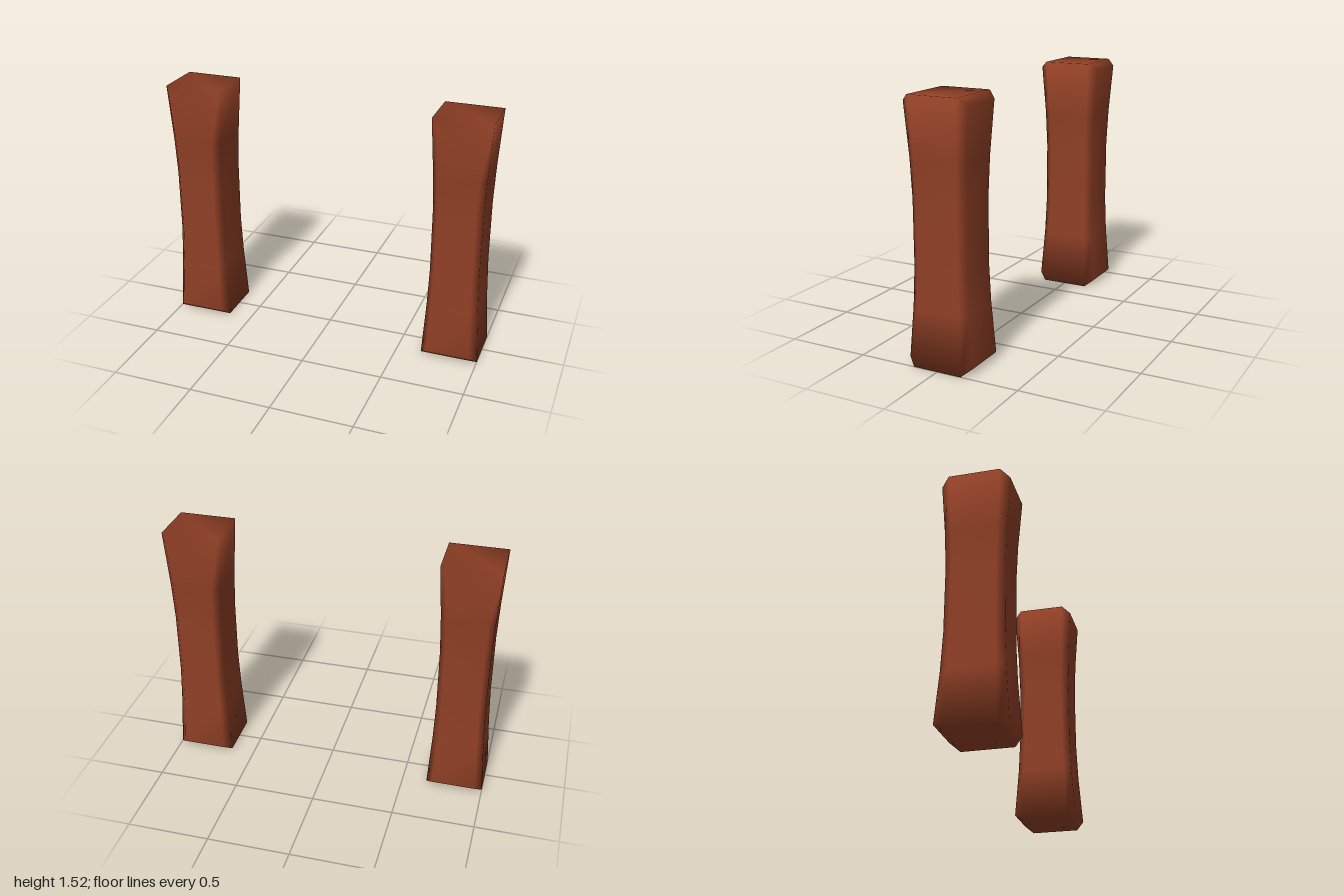
import * as THREE from 'three';

const HEIGHT = 1.525, CHAMFER = 0.04;

// Plan of a post, counter-clockwise from above: an octagon with chamfered corners
const PLAN = [
  [0.175, 0.15], [0.175, -0.15], [0.135, -0.2], [-0.135, -0.2],
  [-0.175, -0.15], [-0.175, 0.15], [-0.135, 0.2], [0.135, 0.2],
];
// Heights of the cross-sections, from -1 (foot) to 1 (top)
const LEVELS = [-1, -0.55, -0.25, 0.25, 0.55, 1];

// Waisted post with bevelled front and back faces and shared, smooth normals
function postGeometry() {
  const positions = [], index = [];
  const n = PLAN.length;
  for (const t of LEVELS) {
    const scale = 0.84 + 0.16 * Math.max(0, (Math.abs(t) - 0.1) / 0.9) ** 1.6;
    for (const [x, z] of PLAN) {
      // the front and back faces stop short of the ends
      const inset = Math.abs(z) > 0.16 && Math.abs(t) === 1 ? CHAMFER * t : 0;
      positions.push(x * scale, (t + 1) / 2 * HEIGHT - inset, z * scale);
    }
  }
  // sides
  for (let r = 0; r < LEVELS.length - 1; r++) {
    for (let i = 0; i < n; i++) {
      const a = r * n + i, b = r * n + (i + 1) % n;
      index.push(a, b, b + n, a, b + n, a + n);
    }
  }
  // end caps: a flat centre and two sloping bevels
  const top = (LEVELS.length - 1) * n;
  for (const [a, b, c, d] of [[0, 1, 4, 5], [1, 2, 3, 4], [5, 6, 7, 0]]) {
    index.push(top + a, top + b, top + c, top + a, top + c, top + d);
    index.push(a, c, b, a, d, c);
  }
  const geometry = new THREE.BufferGeometry();
  geometry.setAttribute('position', new THREE.Float32BufferAttribute(positions, 3));
  geometry.setIndex(index);
  geometry.computeVertexNormals();
  return geometry;
}

export function createModel() {
  const model = new THREE.Group();
  model.name = 'pairOfPosts';
  const wood = new THREE.MeshStandardMaterial({ color: 0x8f3f25 });
  wood.name = 'reddish brown';
  const geometry = postGeometry();
  for (const side of [-1, 1]) {
    const post = new THREE.Mesh(geometry, wood);
    post.name = side > 0 ? 'leftPost' : 'rightPost';
    post.position.x = side * 0.825;
    model.add(post);
  }
  return model;
}
